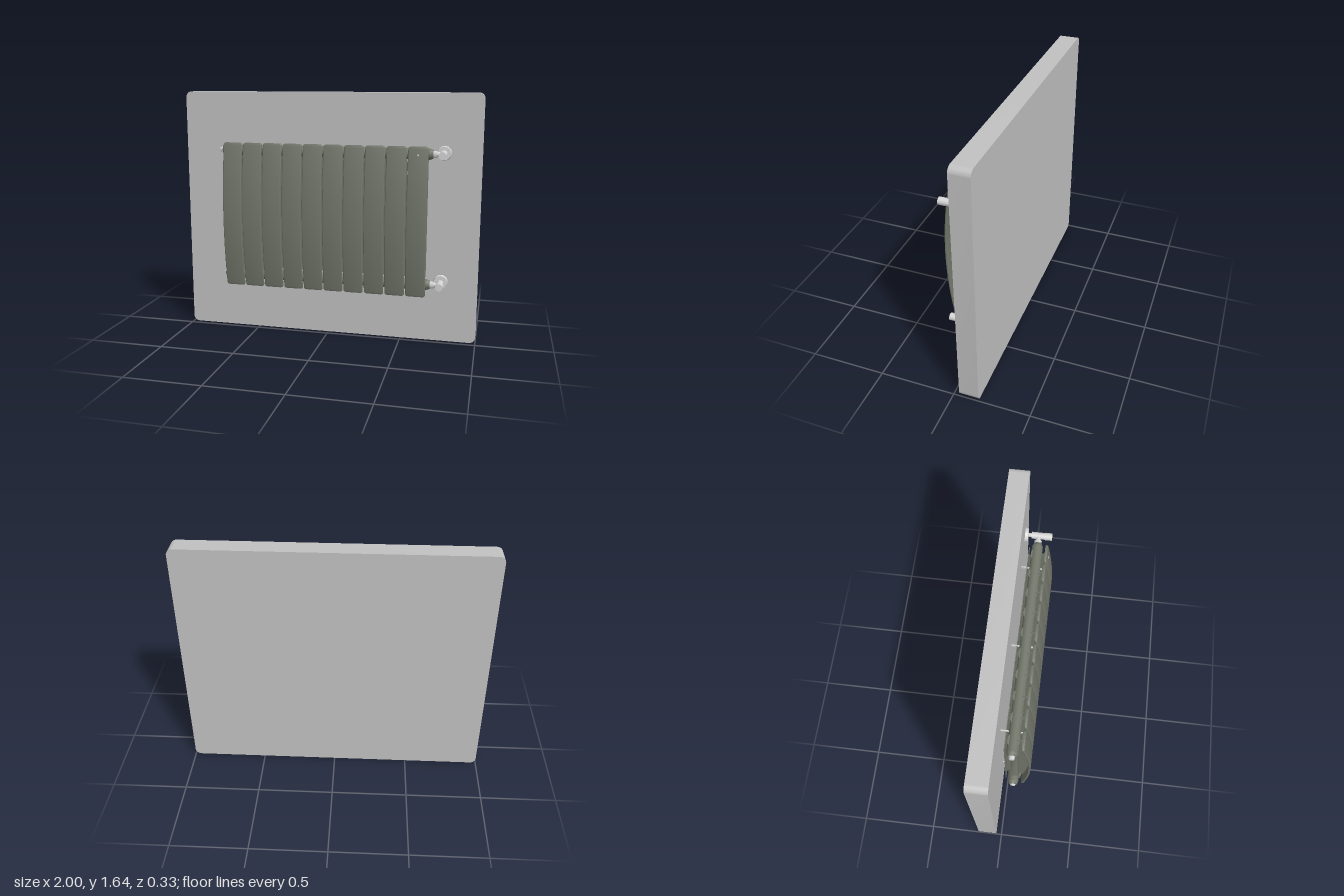
import * as THREE from 'three';
import { toCreasedNormals } from 'three/addons/utils/BufferGeometryUtils.js';

const material = (name, color) => Object.assign(new THREE.MeshStandardMaterial({ color }), { name });
const COUNT = 10, PITCH = 0.136;
const Y_LOW = 0.41, Y_HIGH = 1.26, Z_PIPE = 0.05;
const Y0 = 0.342, Y1 = 1.312;

// Front surface depth of the bowed panels
const bow = (y) => 0.163 - 0.045 * ((y - 0.827) / 0.485) ** 2;

// Loft of rounded-rectangle rings: each station is { y, z, w, d, r }
function loft(stations, perCorner = 4) {
  const pos = [], idx = [], n = perCorner * 4;
  for (const { y, z, w, d, r } of stations) {
    for (let c = 0; c < 4; c++) {
      const sx = c === 0 || c === 3 ? 1 : -1, sz = c < 2 ? 1 : -1;
      for (let k = 0; k < perCorner; k++) {
        const a = (c + k / (perCorner - 1)) * Math.PI / 2;
        pos.push(sx * (w / 2 - r) + Math.cos(a) * r, y, z + sz * (d / 2 - r) + Math.sin(a) * r);
      }
    }
  }
  const last = (stations.length - 1) * n;
  for (let s = 0; s < last; s += n) {
    for (let i = 0; i < n; i++) {
      const j = (i + 1) % n;
      idx.push(s + i, s + n + i, s + j, s + j, s + n + i, s + n + j);
    }
  }
  for (let i = 1; i < n - 1; i++) idx.push(0, i, i + 1, last, last + i + 1, last + i);
  const g = new THREE.BufferGeometry();
  g.setAttribute('position', new THREE.Float32BufferAttribute(pos, 3));
  g.setIndex(idx);
  return toCreasedNormals(g, 0.7);
}

// Bowed front panel with rounded corners
function panelGeometry() {
  const stations = [], R = 0.014, ts = [];
  for (const k of [0, 0.1, 0.35, 0.65]) ts.push(k * R);
  for (let i = 0; i <= 18; i++) ts.push(R + (Y1 - Y0 - 2 * R) * i / 18);
  for (const k of [0.65, 0.35, 0.1, 0]) ts.push(Y1 - Y0 - k * R);
  for (const t of ts) {
    const e = Math.min(t, Y1 - Y0 - t, R), inset = R - Math.sqrt(R * R - (R - e) ** 2);
    const y = Y0 + t, d = 0.016;
    stations.push({ y, z: bow(y) - d / 2, w: 0.128 - 2 * inset, d, r: 0.006 });
  }
  return loft(stations);
}

// Flat plate drawn as (z, y) points, extruded along x
function sidePlate(points, thickness) {
  const shape = new THREE.Shape(points.map(([z, y]) => new THREE.Vector2(z, y)));
  return new THREE.ExtrudeGeometry(shape, { depth: thickness, bevelEnabled: false })
    .rotateY(-Math.PI / 2).translate(thickness / 2, 0, 0);
}

export function createModel() {
  const model = new THREE.Group();
  model.name = 'wallRadiator';
  const wallGrey = material('wallGrey', 0xc1c1c1);
  const enamel = material('greyGreenEnamel', 0x73776b);
  const metal = material('paleMetal', 0xd6d6d6);

  const add = (parent, name, geometry, mat, x = 0, y = 0, z = 0) => {
    const m = new THREE.Mesh(geometry, mat);
    m.name = name;
    m.position.set(x, y, z);
    parent.add(m);
    return m;
  };
  const box = (w, h, d) => new THREE.BoxGeometry(w, h, d);
  const cylX = (r0, r1, len, seg = 24) => new THREE.CylinderGeometry(r1, r0, len, seg).rotateZ(-Math.PI / 2);
  const cylZ = (r0, r1, len, seg = 28) => new THREE.CylinderGeometry(r1, r0, len, seg).rotateX(Math.PI / 2);

  // Wall slab with rounded corners
  const H = 1.64, R = 0.04, s = new THREE.Shape();
  s.moveTo(-1 + R, 0).lineTo(1 - R, 0);
  s.absarc(1 - R, R, R, -Math.PI / 2, 0);
  s.absarc(1 - R, H - R, R, 0, Math.PI / 2);
  s.absarc(-1 + R, H - R, R, Math.PI / 2, Math.PI);
  s.absarc(-1 + R, R, R, Math.PI, Math.PI * 1.5);
  const slab = new THREE.ExtrudeGeometry(s, { depth: 0.128, bevelEnabled: false, curveSegments: 8 });
  add(model, 'wall', toCreasedNormals(slab, 0.6), wallGrey, 0, 0, -0.165);

  // Shared geometries of one radiator section
  const panel = panelGeometry();
  const arc = [];
  for (let i = 0; i <= 14; i++) {
    const y = 0.36 + (1.3 - 0.36) * i / 14;
    arc.push([bow(y) - 0.012, y]);
  }
  const frontWeb = sidePlate([[0.06, 0.4], ...arc, [0.06, 1.285]], 0.008);
  const rearWeb = sidePlate([[0, 0.44], [0.06, 0.44], [0.06, 1.285], [0, 1.268]], 0.006);
  const column = loft([
    { y: 0.36, z: Z_PIPE, w: 0.07, d: 0.076, r: 0.02 },
    { y: 0.45, z: Z_PIPE, w: 0.07, d: 0.076, r: 0.02 },
    { y: 0.52, z: Z_PIPE, w: 0.04, d: 0.046, r: 0.015 },
    { y: 1.15, z: Z_PIPE, w: 0.04, d: 0.046, r: 0.015 },
    { y: 1.22, z: Z_PIPE, w: 0.07, d: 0.07, r: 0.02 },
    { y: 1.285, z: Z_PIPE, w: 0.07, d: 0.07, r: 0.02 },
  ]);
  const foot = loft([
    { y: 0.336, z: 0.057, w: 0.055, d: 0.08, r: 0.012 },
    { y: 0.4, z: 0.057, w: 0.055, d: 0.08, r: 0.012 },
  ]);
  const innerFin = box(0.112, 0.6, 0.005);
  const rearFin = box(0.108, 0.82, 0.005);

  for (let i = 0; i < COUNT; i++) {
    const section = new THREE.Group();
    section.name = 'section';
    section.position.x = (i - (COUNT - 1) / 2) * PITCH;
    model.add(section);
    add(section, 'frontPanel', panel, enamel);
    add(section, 'frontWeb', frontWeb, enamel);
    add(section, 'rearWeb', rearWeb, enamel);
    add(section, 'waterColumn', column, enamel);
    add(section, 'foot', foot, enamel);
    for (const z of [0.08, 0.03]) add(section, 'innerFin', innerFin, enamel, 0, 0.825, z);
    add(section, 'rearFin', rearFin, enamel, 0, 0.855, 0);
  }

  // Header pipes, end bushings, plugs and valves
  const header = cylX(0.035, 0.035, 1.36, 28);
  for (const [y, valveEnd, plugEnd] of [[Y_HIGH, 0.138, -0.722], [Y_LOW, 0.108, -0.71]]) {
    add(model, 'header', header, enamel, 0, y, Z_PIPE);
    for (const side of [-1, 1]) {
      add(model, 'bushing', side > 0 ? cylX(0.036, 0.028, 0.022, 8) : cylX(0.028, 0.036, 0.022, 8),
        enamel, side * 0.689, y, Z_PIPE);
    }
    const plugLength = -0.69 - plugEnd;
    add(model, 'plug', cylX(0.016, 0.022, plugLength, 6), metal, plugEnd + plugLength / 2, y, Z_PIPE);

    const valve = new THREE.Group();
    valve.name = 'valve';
    valve.position.set(0.762, y, 0);
    model.add(valve);
    add(valve, 'unionNut', cylX(0.024, 0.024, 0.026, 6), metal, -0.05, 0, Z_PIPE);
    add(valve, 'unionPipe', cylX(0.015, 0.015, 0.07), metal, -0.03, 0, Z_PIPE);
    add(valve, 'valveBody', cylZ(0.022, 0.022, valveEnd - 0.004), metal, 0, 0, (valveEnd + 0.004) / 2);
    add(valve, 'valveCap', cylZ(0.024, 0.024, 0.045), metal, 0, 0, valveEnd - 0.0235);
    add(valve, 'wallPipe', cylZ(0.013, 0.013, 0.06), metal, 0, 0, -0.01);
    add(valve, 'rosette', cylZ(0.047, 0.043, 0.02), metal, 0, 0, -0.027);
  }

  // Air vent on the last panel
  add(model, 'airVent', cylZ(0.006, 0.006, 0.006, 12), metal, 0.612, Y_HIGH, bow(Y_HIGH));

  // Wall brackets between sections
  for (const x of [-4 * PITCH, 0, 4 * PITCH]) {
    for (const y of [Y_HIGH - 0.04, Y_LOW - 0.04]) {
      add(model, 'bracketArm', box(0.006, 0.016, 0.135), metal, x, y, 0.029);
    }
  }
  return model;
}
